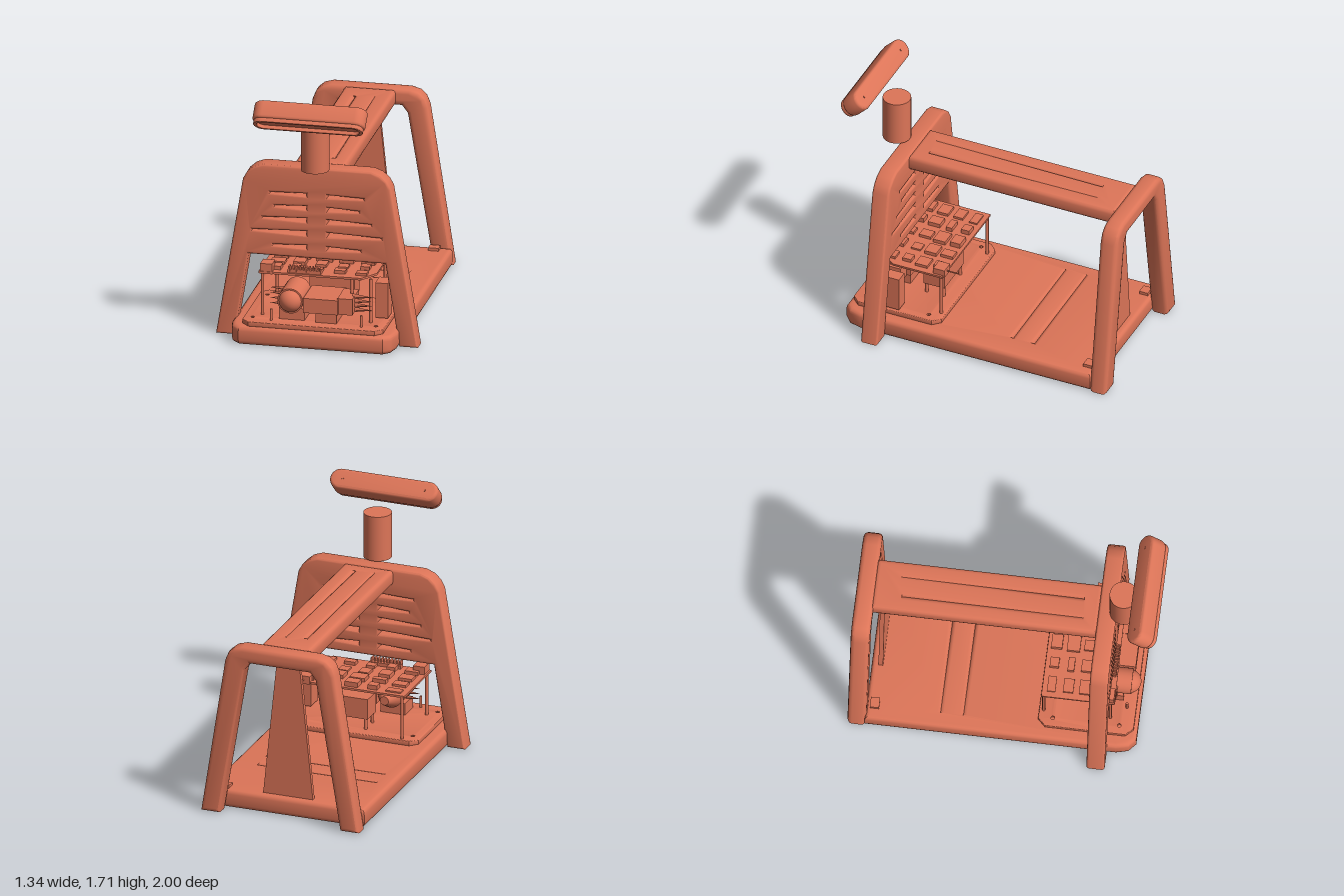
import * as THREE from 'three';
import { toCreasedNormals } from 'three/addons/utils/BufferGeometryUtils.js';

const material = new THREE.MeshStandardMaterial({ color: 0xdd7558, side: THREE.DoubleSide });

function add(parent, name, geometry, x = 0, y = 0, z = 0) {
  const mesh = new THREE.Mesh(geometry, material);
  mesh.name = name;
  mesh.position.set(x, y, z);
  parent.add(mesh);
  return mesh;
}

const box = (p, name, w, h, d, x, y, z) => add(p, name, new THREE.BoxGeometry(w, h, d), x, y, z);
const rod = (p, name, r, h, x, y, z, sides = 12) => add(p, name, new THREE.CylinderGeometry(r, r, h, sides), x, y, z);
const path = (pts) => pts.map(([x, y]) => new THREE.Vector2(x, y));

// Mirror a half outline (x > 0, in order) into a closed one
const mirror = (pts) => [...pts, ...pts.slice().reverse().map(([x, y]) => [-x, y])];

// Solid of total thickness `depth` starting at z = 0; the bevel stays inside the outline
function slab(outline, holes, depth, bevel, segments = 3) {
  const shape = new THREE.Shape(path(outline));
  holes.forEach((h) => shape.holes.push(new THREE.Path(path(h))));
  const geometry = new THREE.ExtrudeGeometry(shape, {
    depth: depth - 2 * bevel, bevelEnabled: bevel > 0, bevelThickness: bevel,
    bevelSize: bevel, bevelOffset: -bevel, bevelSegments: segments, curveSegments: 12,
  });
  geometry.translate(0, 0, bevel);
  return toCreasedNormals(geometry, 0.6);
}

// Same, lying flat: outline is given as (x, z)
const flatSlab = (outline, holes, depth, bevel) =>
  slab(outline.map(([x, z]) => [x, -z]), holes.map((h) => h.map(([x, z]) => [x, -z])), depth, bevel)
    .rotateX(-Math.PI / 2);

const circle = (cx, cy, r, n = 10) => Array.from({ length: n }, (_, i) => {
  const a = (i / n) * Math.PI * 2;
  return [cx + r * Math.cos(a), cy + r * Math.sin(a)];
});

function stadium(halfLength, r) {
  const pts = [];
  for (let i = 0; i <= 20; i++) {
    const a = -Math.PI / 2 + (i % 21) / 20 * Math.PI;
    pts.push([halfLength - r + r * Math.cos(a), r * Math.sin(a)]);
  }
  return mirror(pts);
}

function frames(model) {
  // Tapered slits across the front panel: row height, half length, half thickness
  const slits = [];
  for (const [y, w, t] of [[1.0, 0.31, 0.008], [0.91, 0.28, 0.012], [0.825, 0.36, 0.012], [0.735, 0.43, 0.013], [0.64, 0.29, 0.01]]) {
    for (const s of [-1, 1]) {
      slits.push([[s * 0.07, y - t], [s * w, y - 0.002], [s * w, y + 0.002], [s * 0.07, y + t]]);
    }
  }
  const front = mirror([[0.455, 0.565], [0.548, 0], [0.672, 0], [0.493, 1.08], [0.465, 1.13], [0.42, 1.17], [0.36, 1.192]]);
  add(model, 'frontFrame', slab(front, slits, 0.12, 0.016), 0, 0, 0.58);

  const rear = mirror([[0.21, 1.08], [0.248, 1.03], [0.42, 0], [0.552, 0], [0.385, 1.08], [0.36, 1.14], [0.32, 1.175], [0.26, 1.192]]);
  add(model, 'rearFrame', slab(rear, [], 0.125, 0.03), 0, 0, -1);

  // Tapered pillar in front of the rear frame
  const pillar = mirror([[0.175, 0.11], [0.075, 1.1]]);
  add(model, 'rearPillar', slab(pillar, [], 0.03, 0), 0, 0, -0.84);
}

function baseAndBeam(model) {
  const deck = mirror([[0.55, -0.885], [0.55, 0.76], [0.53, 0.84], [0.48, 0.885]]);
  const grooves = [-0.4, -0.25].map((z) => [[-0.48, z - 0.009], [0.41, z - 0.001], [0.41, z + 0.001], [-0.48, z + 0.009]]);
  add(model, 'base', flatSlab(deck, grooves, 0.125, 0.03));
  for (const s of [-1, 1]) box(model, 'deckBracket', 0.07, 0.03, 0.06, s * 0.44, 0.13, -0.83);

  // Handle beam with two long tapered slots; its section is rounded
  const beam = mirror([[0.172, -0.89], [0.172, 0.59]]);
  const slots = [
    [[-0.067, -0.73], [-0.063, -0.73], [-0.06, 0.52], [-0.082, 0.52]],
    [[0.053, -0.75], [0.077, -0.75], [0.066, 0.51], [0.062, 0.51]],
  ];
  add(model, 'topBeam', flatSlab(beam, slots, 0.11, 0.03), 0, 1.08, 0);
}

function head(model) {
  rod(model, 'headPost', 0.093, 0.31, 0, 1.355, 0.745, 32);
  const group = new THREE.Group();
  group.name = 'head';
  add(group, 'headShell', slab(stadium(0.375, 0.07), [], 0.13, 0.02), 0, 0, -0.075);
  add(group, 'headRim', slab(stadium(0.365, 0.062), [stadium(0.34, 0.045)], 0.03, 0.004), 0, 0, 0.05);
  for (const s of [-1, 1]) {
    rod(group, 'headScrew', 0.008, 0.006, s * 0.285, 0, -0.076, 8).rotation.x = Math.PI / 2;
  }
  group.position.set(0, 1.612, 0.9);
  group.rotation.x = Math.PI / 4;
  model.add(group);
}

function machinery(model) {
  const group = new THREE.Group();
  group.name = 'machinery';
  model.add(group);

  // Mounting plate with chamfered, drilled corners
  const plate = mirror([[0.42, 0.235], [0.468, 0.285], [0.468, 0.81], [0.42, 0.86]]);
  const drills = [];
  for (const x of [-0.41, 0.41]) for (const z of [0.33, 0.765]) drills.push(circle(x, z, 0.018));
  add(group, 'mountingPlate', flatSlab(plate, drills, 0.035, 0.005), 0, 0.122, 0);

  // Circuit board on four standoffs
  for (const x of [-0.36, 0.36]) for (const z of [0.265, 0.7]) rod(group, 'standoff', 0.011, 0.3, x, 0.305, z, 8);
  const board = [[-0.38, 0.25], [0.38, 0.25], [0.38, 0.6], [0.3, 0.72], [-0.38, 0.73]];
  add(group, 'circuitBoard', flatSlab(board, [], 0.014, 0), 0, 0.448, 0);

  let seed = 7;
  const random = () => (seed = (seed * 16807) % 2147483647) / 2147483647;
  for (let i = 0; i < 5; i++) {
    for (let j = 0; j < 4; j++) {
      const h = 0.012 + 0.025 * random();
      box(group, 'boardChip', 0.05 + 0.06 * random(), h, 0.04 + 0.05 * random(),
        -0.29 + i * 0.145, 0.46 + h / 2, 0.31 + j * 0.11);
    }
  }
  box(group, 'boardConnector', 0.08, 0.07, 0.09, -0.33, 0.48, 0.68);
  box(group, 'boardConnector', 0.09, 0.055, 0.08, 0.32, 0.475, 0.28);
  box(group, 'pinHeader', 0.22, 0.025, 0.05, -0.08, 0.473, 0.69);
  for (let i = 0; i < 10; i++) box(group, 'headerPin', 0.01, 0.035, 0.04, -0.18 + i * 0.022, 0.49, 0.7);
  rod(group, 'probe', 0.005, 0.1, 0.32, 0.475, 0.21, 6).rotation.x = Math.PI / 2;

  // Round motor at the front right
  rod(group, 'motorBody', 0.085, 0.24, -0.15, 0.305, 0.7, 24).rotation.x = Math.PI / 2;
  add(group, 'motorNose', new THREE.SphereGeometry(0.078, 24, 16), -0.15, 0.305, 0.8);
  const tail = add(group, 'motorTail', new THREE.CylinderGeometry(0.085, 0.03, 0.1, 24), -0.15, 0.305, 0.53);
  tail.rotation.x = Math.PI / 2;
  box(group, 'motorClamp', 0.17, 0.08, 0.14, -0.15, 0.2, 0.7);
  for (let i = 0; i < 4; i++) {
    const fin = add(group, 'motorFin', new THREE.ConeGeometry(0.014, 0.1, 4), -0.26, 0.25 + i * 0.035, 0.72);
    fin.rotation.z = Math.PI / 2;
  }

  // Gearbox, spiked cooler and side block
  box(group, 'gearbox', 0.23, 0.1, 0.26, 0.055, 0.285, 0.7);
  box(group, 'gearboxStand', 0.14, 0.09, 0.2, 0.08, 0.195, 0.68);
  box(group, 'coolerCore', 0.1, 0.11, 0.2, 0.21, 0.285, 0.7);
  for (let i = 0; i < 4; i++) {
    const spike = add(group, 'coolerSpike', new THREE.ConeGeometry(0.02, 0.13, 4), 0.31, 0.245 + i * 0.03, 0.72);
    spike.rotation.z = -Math.PI / 2;
  }
  box(group, 'sideBlock', 0.085, 0.24, 0.12, 0.42, 0.29, 0.58);
  box(group, 'rearMotor', 0.3, 0.14, 0.15, 0.05, 0.3, 0.39);
  for (const x of [-0.08, 0.18]) {
    for (const z of [0.33, 0.45]) rod(group, 'rearMotorLeg', 0.012, 0.1, x, 0.2, z, 8);
  }
  rod(group, 'frontStandoff', 0.01, 0.13, 0.23, 0.39, 0.68, 8);
  for (const x of [-0.28, 0.32]) rod(group, 'frontLeg', 0.009, 0.08, x, 0.195, 0.8, 8);
}

export function createModel() {
  const model = new THREE.Group();
  model.name = 'frameMachine';
  frames(model);
  baseAndBeam(model);
  head(model);
  machinery(model);
  return model;
}
